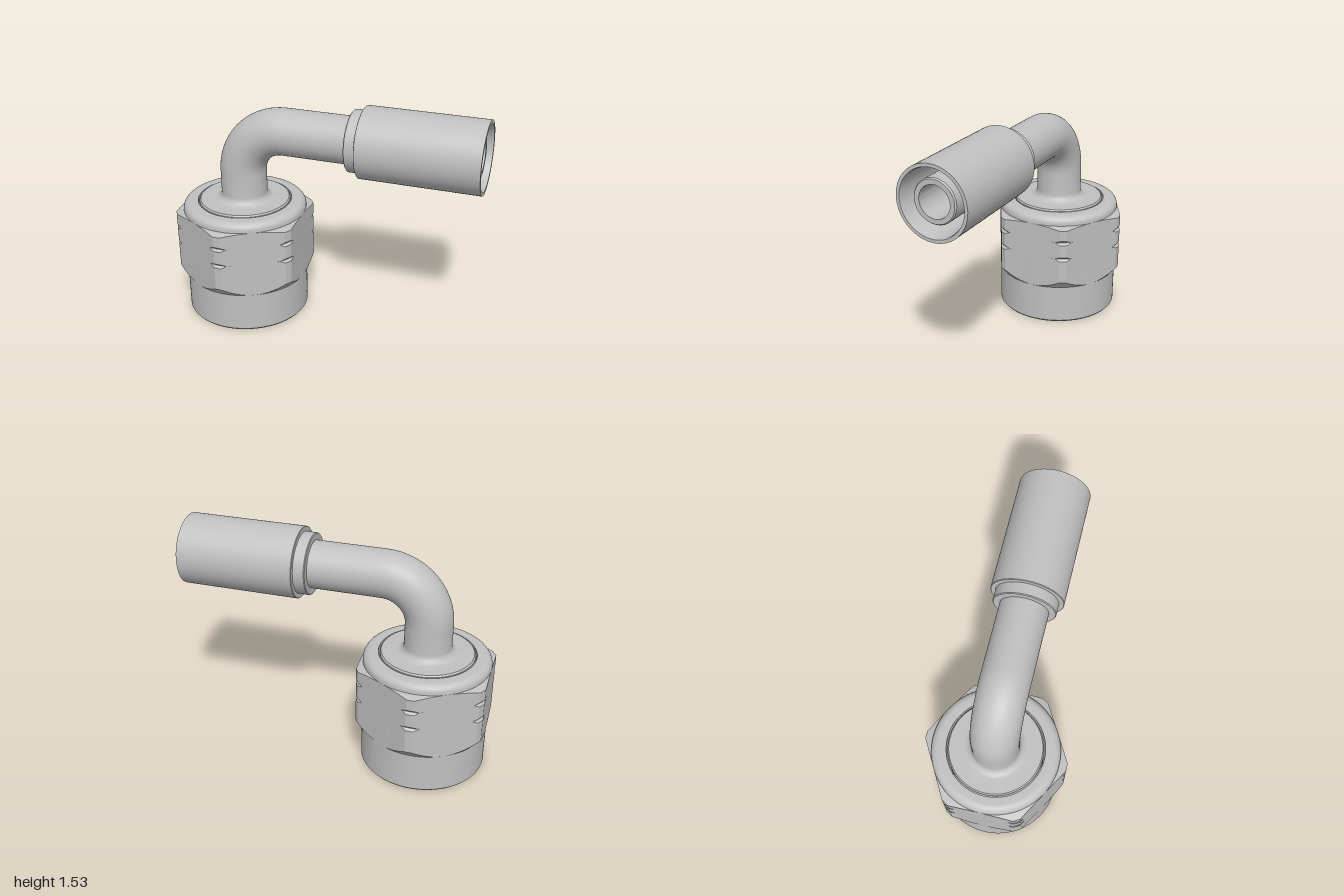
import * as THREE from 'three';
import { toCreasedNormals } from 'three/addons/utils/BufferGeometryUtils.js';

const AXIS_X = -0.59;   // nut and vertical leg axis
const PIPE_Y = 1.298;   // horizontal leg axis
const BEND_R = 0.298, BEND_Y = 1.0;
const PIPE_R = 0.152, BORE_R = 0.1;
const FLAT = 0.41, CORNER = 0.46, GROOVE = 0.445;

const arc = (cx, cy, r, a0, a1, n) => Array.from({ length: n + 1 }, (_, i) => {
  const a = THREE.MathUtils.degToRad(a0 + (a1 - a0) * i / n);
  return [cx + r * Math.cos(a), cy + r * Math.sin(a)];
});

function turned(profile) {
  const points = profile.map(([r, y]) => new THREE.Vector2(r, y));
  return toCreasedNormals(new THREE.LatheGeometry(points, 72), 0.5);
}

// Closed nut section for one direction, h = hexagon radius in that direction
function nutSection(h) {
  const groove = (y) => {
    const d = Math.max(0, h - GROOVE);
    return [[h, y - d], [Math.min(h, GROOVE), y], [h, y + d]];
  };
  return [
    [0.337, 0], [0.4, 0], [FLAT, 0.012], [FLAT, 0.27],
    [h, 0.27 + (h - FLAT) * 1.2],
    ...groove(0.505), ...groove(0.625),
    [h, 0.73 - (h - FLAT) * 0.3], [FLAT, 0.73],
    ...arc(0.36, 0.74, 0.05, 0, 90, 8),
    [0.312, 0.79], [0.312, 0.03], [0.337, 0],
  ];
}

// Hexagon with turned-down corners, chamfers and corner grooves
function nutGeometry() {
  const steps = [-30, -27, -23, -20, -16, -12, -8, -4, 0, 4, 8, 12, 16, 20, 23, 27];
  const positions = [], index = [];
  let rows = 0;
  for (let side = 0; side < 6; side++) {
    for (const step of steps) {
      const a = THREE.MathUtils.degToRad(side * 60 + step);
      const h = Math.min(CORNER, FLAT / Math.cos(THREE.MathUtils.degToRad(step)));
      const section = nutSection(h);
      rows = section.length;
      for (const [r, y] of section) positions.push(r * Math.cos(a), y, -r * Math.sin(a));
    }
  }
  const columns = 6 * steps.length;
  for (let c = 0; c < columns; c++) {
    const p = c * rows, q = ((c + 1) % columns) * rows;
    for (let i = 0; i < rows - 1; i++) {
      index.push(p + i, q + i, q + i + 1, p + i, q + i + 1, p + i + 1);
    }
  }
  const geometry = new THREE.BufferGeometry();
  geometry.setAttribute('position', new THREE.Float32BufferAttribute(positions, 3));
  geometry.setIndex(index);
  return toCreasedNormals(geometry, 0.3);
}

export function createModel() {
  const steel = new THREE.MeshStandardMaterial({ color: 0xc0c0c0, side: THREE.DoubleSide });
  steel.name = 'steel grey';
  const model = new THREE.Group();
  model.name = 'elbowHoseFitting';
  const add = (name, geometry, x = 0, y = 0) => {
    const mesh = new THREE.Mesh(geometry, steel);
    mesh.name = name;
    mesh.position.set(x, y, 0);
    model.add(mesh);
  };

  add('swivelNut', nutGeometry(), AXIS_X);

  // Vertical leg: bore, sealing nose, flange and filleted neck
  add('noseAndNeck', turned([
    [BORE_R, BEND_Y], [BORE_R, 0.38], [0.17, 0.23], [0.2, 0.23], [0.212, 0.245],
    [0.303, 0.45], [0.303, 0.79], [0.295, 0.8],
    ...arc(PIPE_R + 0.05, 0.85, 0.05, 270, 180, 8),
    [PIPE_R, BEND_Y],
  ]), AXIS_X);

  // Quarter bend, outer wall and bore
  for (const [name, r] of [['bend', PIPE_R], ['bendBore', BORE_R]]) {
    const quarter = new THREE.TorusGeometry(BEND_R, r, 72, 32, Math.PI / 2);
    quarter.rotateZ(Math.PI / 2);
    add(name, quarter, AXIS_X + BEND_R, BEND_Y);
  }

  // Horizontal parts, each profile given as [radius, x]
  const START = AXIS_X + BEND_R;
  const horizontal = {
    pipe: [[PIPE_R, START], [PIPE_R, 0.17]],
    collar: [[PIPE_R, 0.16], [0.192, 0.16], [0.197, 0.165], [0.197, 0.235]],
    crimpSleeve: [[0.19, 0.235], [0.226, 0.235], [0.229, 0.238], [0.229, 1],
      [0.208, 1], [0.203, 0.985], [0.203, 0.3], [0.137, 0.3]],
    hoseNipple: [[0.137, 0.3], [0.137, 0.96], [0.13, 0.97], [BORE_R, 0.97], [BORE_R, START]],
  };
  for (const [name, profile] of Object.entries(horizontal)) {
    add(name, turned(profile).rotateZ(-Math.PI / 2), 0, PIPE_Y);
  }
  return model;
}
